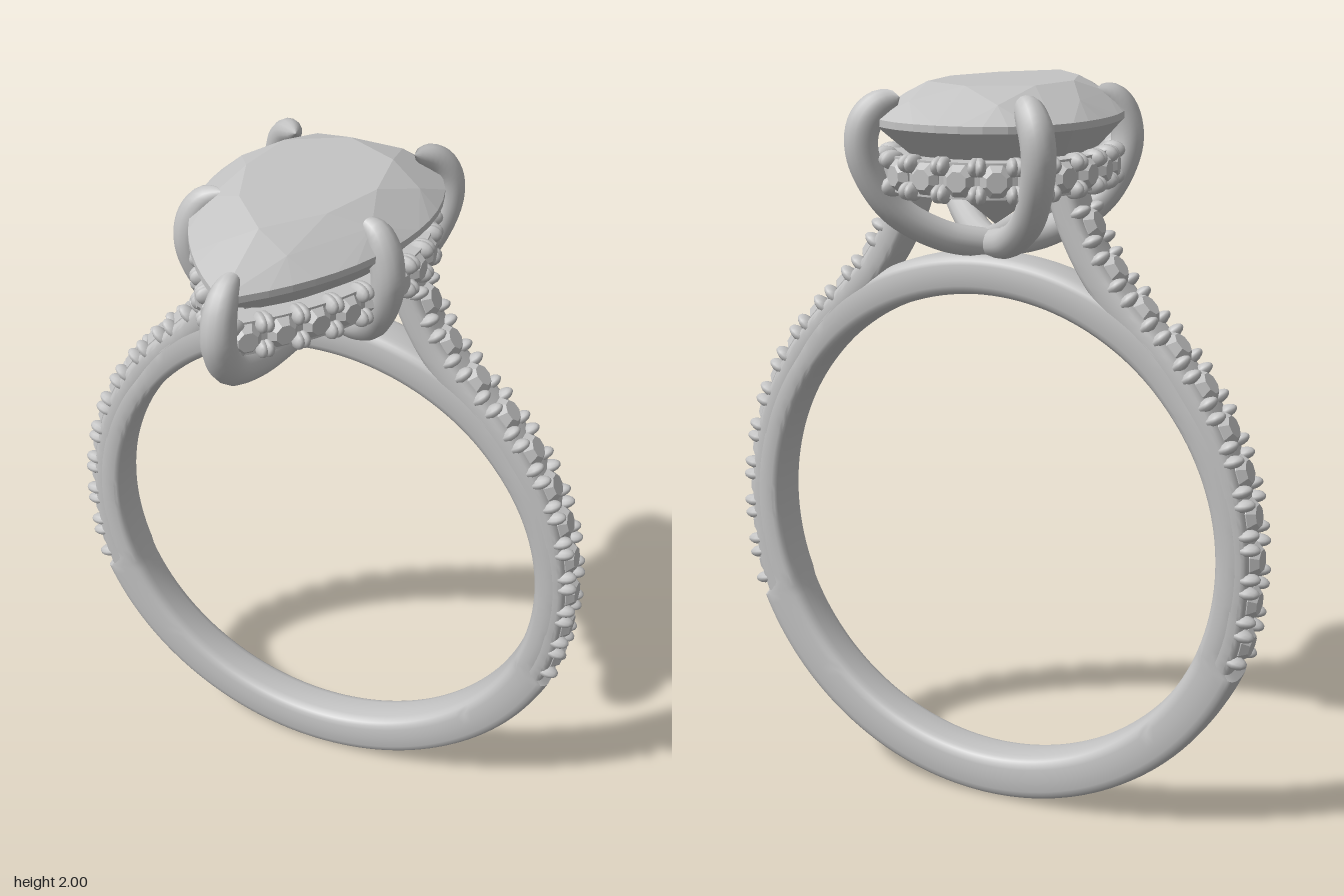
import * as THREE from 'three';
import { mergeGeometries, toCreasedNormals } from 'three/addons/utils/BufferGeometryUtils.js';
import { ConvexGeometry } from 'three/addons/geometries/ConvexGeometry.js';

const V = (x, y, z = 0) => new THREE.Vector3(x, y, z);
const BAND_Z = -0.205, RING_Y = 0.79, HALF_W = 0.067;

const metal = new THREE.MeshStandardMaterial({ color: 0xc4c4c4 });
metal.name = 'silver grey';

function add(parent, name, geometry) {
  const mesh = new THREE.Mesh(geometry, metal);
  mesh.name = name;
  parent.add(mesh);
  return mesh;
}

// Sweep a rounded-rectangle section between outer and inner points in the xy plane
function sweepBand(stations, closed) {
  const M = 24, pos = [], idx = [], n = stations.length;
  const soft = v => Math.sign(v) * Math.sqrt(Math.abs(v));
  for (const { outer, inner, w } of stations) {
    const mid = outer.clone().add(inner).multiplyScalar(0.5);
    const half = outer.clone().sub(mid);
    for (let j = 0; j < M; j++) {
      const a = (j / M) * Math.PI * 2;
      const p = mid.clone().addScaledVector(half, soft(Math.cos(a)));
      pos.push(p.x, p.y, -w * soft(Math.sin(a)));
    }
  }
  for (let i = 0; i < (closed ? n : n - 1); i++) {
    for (let j = 0; j < M; j++) {
      const k = (j + 1) % M, i2 = (i + 1) % n;
      const a = i * M + j, b = i * M + k, c = i2 * M + j, d = i2 * M + k;
      idx.push(a, b, c, b, d, c);
    }
  }
  const g = new THREE.BufferGeometry();
  g.setAttribute('position', new THREE.Float32BufferAttribute(pos, 3));
  g.setIndex(idx);
  return toCreasedNormals(g, 0.7);
}

// Small faceted stones, each held by four beads, along a list of frames
function pave(parent, name, frames, gemR, spread, along) {
  const gems = [], beads = [];
  for (const { p, t, n } of frames) {
    const m = new THREE.Matrix4().makeBasis(t, n, t.clone().cross(n)).setPosition(p);
    const crown = new THREE.CylinderGeometry(gemR * 0.62, gemR, 0.02, 8).translate(0, 0.004, 0);
    const girdle = new THREE.CylinderGeometry(gemR, gemR, 0.02, 8).translate(0, -0.016, 0);
    for (const g of [crown, girdle]) {
      const flat = g.rotateY(Math.PI / 8).toNonIndexed();
      flat.computeVertexNormals();
      gems.push(flat.applyMatrix4(m));
    }
    for (const sx of [-1, 1]) for (const sz of [-1, 1]) {
      const b = new THREE.SphereGeometry(1, 10, 8).scale(0.017, 0.034, 0.025);
      beads.push(b.translate(sx * along, -0.012, sz * spread).applyMatrix4(m));
    }
  }
  add(parent, name + 'Stones', mergeGeometries(gems));
  add(parent, name + 'Beads', mergeGeometries(beads));
}

// Pear outline in x and z, starting and ending at the pointed front
const half = [[0, 0.45], [0.12, 0.325], [0.225, 0.165], [0.29, -0.02], [0.303, -0.2],
  [0.26, -0.36], [0.15, -0.475]];
const pear = new THREE.CatmullRomCurve3([
  ...half.map(([x, z]) => V(x, 0, z)), V(0, 0, -0.51),
  ...half.slice().reverse().map(([x, z]) => V(-x, 0, z))]);
const pearPoint = (t, s, y) => {
  const p = pear.getPointAt(t);
  return V(p.x * s, y, -0.1 + (p.z + 0.1) * s);
};
const pearLoop = (n, s, y, shift = 0) =>
  Array.from({ length: n }, (_, k) => pearPoint((k + shift) / n, s, y));

function buildShank(parent) {
  const shank = new THREE.Group();
  shank.name = 'shank';
  shank.position.z = BAND_Z;
  parent.add(shank);

  // Full hoop, cut back where the stone-set shoulders cover it
  const hoop = [];
  for (let i = 0; i < 160; i++) {
    const a = (i / 160) * Math.PI * 2, dir = V(Math.cos(a), Math.sin(a));
    const y = RING_Y + 0.78 * dir.y;
    const r = y < 0.52 ? 0.79 : 0.74 + 0.03 * THREE.MathUtils.smoothstep(y, 1.25, 1.42);
    const at = R => V(0, RING_Y).addScaledVector(dir, R);
    hoop.push({ outer: at(r), inner: at(0.66), w: HALF_W });
  }
  add(shank, 'hoop', sweepBand(hoop, true));

  // Shoulders leave the hoop and rise to the halo
  const curve = new THREE.CatmullRomCurve3([[0.718, 0.5], [0.742, 0.58], [0.757, 0.7], [0.76, 0.818],
    [0.747, 0.936], [0.719, 1.05], [0.673, 1.16], [0.61, 1.265], [0.532, 1.36], [0.442, 1.45],
    [0.358, 1.545], [0.296, 1.655], [0.262, 1.75]].map(([x, y]) => V(x, y)));
  const frame = u => {
    const t = curve.getTangent(u);
    return { p: curve.getPoint(u), t, n: V(t.y, -t.x) };
  };
  for (const side of ['left', 'right']) {
    const shoulder = new THREE.Group();
    shoulder.name = side + 'Shoulder';
    shoulder.rotation.y = side === 'left' ? 0 : Math.PI;
    shank.add(shoulder);
    const stations = [];
    for (let i = 0; i <= 72; i++) {
      const { p, n } = frame(i / 72);
      const outer = p.clone().addScaledVector(n, -0.006), inner = p.clone().addScaledVector(n, -0.085);
      const mid = outer.clone().add(inner).multiplyScalar(0.5);
      const cap = { outer: mid.clone().addScaledVector(n, 1e-4), inner: mid, w: 1e-4 };
      if (i === 0) stations.push(cap);
      stations.push({ outer, inner, w: HALF_W - 0.001 });
      if (i === 72) stations.push(cap);
    }
    add(shoulder, 'shoulderBar', sweepBand(stations, false));
    const frames = Array.from({ length: 11 }, (_, k) => frame((k + 1) / 12));
    pave(shoulder, 'shoulder', frames, 0.049, 0.043, 0.04);
  }
}

function buildHalo(parent) {
  const halo = new THREE.Group();
  halo.name = 'halo';
  parent.add(halo);
  const flat = s => pearLoop(80, s, 0).map(p => new THREE.Vector2(p.x, p.z));
  const shape = new THREE.Shape(flat(0.92));
  shape.holes.push(new THREE.Path(flat(0.76)));
  const rail = new THREE.ExtrudeGeometry(shape, { depth: 0.09, bevelEnabled: false });
  add(halo, 'haloRail', toCreasedNormals(rail.rotateX(Math.PI / 2).translate(0, 1.827, 0), 0.6));
  const frames = [];
  for (let k = 0; k < 24; k++) {
    const u = (k + 0.5) / 24, t = pear.getTangentAt(u).setY(0).normalize();
    const n = V(-t.z, 0, t.x);
    const p = pearPoint(u, 0.935, 1.782);
    if (n.dot(V(p.x, 0, p.z + 0.1)) < 0) n.negate();
    frames.push({ p, t, n });
  }
  pave(halo, 'halo', frames, 0.043, 0.034, 0.04);
}

// Claw: a tube that narrows to a rounded point over the stone
function claw(parent, name, points) {
  const curve = new THREE.CatmullRomCurve3(points), N = 48, M = 14;
  const g = new THREE.TubeGeometry(curve, N, 0.044, M, false);
  const pos = g.attributes.position, v = new THREE.Vector3();
  for (let i = 0; i <= N; i++) {
    const u = i / N, c = curve.getPointAt(u);
    const f = u < 0.82 ? 0.9 + 0.1 * u / 0.82 : Math.sqrt(Math.max(0, 1 - ((u - 0.82) / 0.18) ** 2));
    for (let j = 0; j <= M; j++) {
      const k = i * (M + 1) + j;
      v.fromBufferAttribute(pos, k).sub(c).multiplyScalar(f).add(c);
      pos.setXYZ(k, v.x, v.y, v.z);
    }
  }
  add(parent, name, g);
}

export function createModel() {
  const model = new THREE.Group();
  model.name = 'ring';
  buildShank(model);
  buildHalo(model);

  // Pear-cut centre stone: table, crown, girdle, pavilion and point
  add(model, 'centreStone', new ConvexGeometry([
    ...pearLoop(8, 0.6, 2.0), ...pearLoop(8, 0.83, 1.963, 0.5),
    ...pearLoop(40, 1, 1.918), ...pearLoop(40, 1, 1.9),
    ...pearLoop(8, 0.56, 1.755, 0.5), V(0, 1.63, -0.18)]));

  // Five claws meeting above the hoop
  const claws = new THREE.Group();
  claws.name = 'claws';
  model.add(claws);
  claw(claws, 'frontClaw', [V(0, 1.585, -0.22), V(0, 1.615, 0.08), V(0, 1.655, 0.27), V(0, 1.72, 0.415),
    V(0, 1.81, 0.463), V(0, 1.885, 0.45), V(0, 1.93, 0.41), V(0, 1.94, 0.36)]);
  for (const s of [1, -1]) {
    const side = s > 0 ? 'Left' : 'Right';
    claw(claws, 'side' + side + 'Claw', [V(0, 1.58, -0.2), V(s * 0.11, 1.605, -0.09), V(s * 0.22, 1.69, 0.02),
      V(s * 0.27, 1.82, 0.063), V(s * 0.262, 1.9, 0.063), V(s * 0.235, 1.95, 0.05), V(s * 0.19, 1.968, 0.03)]);
    claw(claws, 'back' + side + 'Claw', [V(0, 1.58, -0.2), V(s * 0.1, 1.61, -0.29), V(s * 0.195, 1.69, -0.38),
      V(s * 0.245, 1.82, -0.437), V(s * 0.24, 1.9, -0.44), V(s * 0.21, 1.95, -0.415), V(s * 0.17, 1.968, -0.375)]);
  }
  return model;
}
